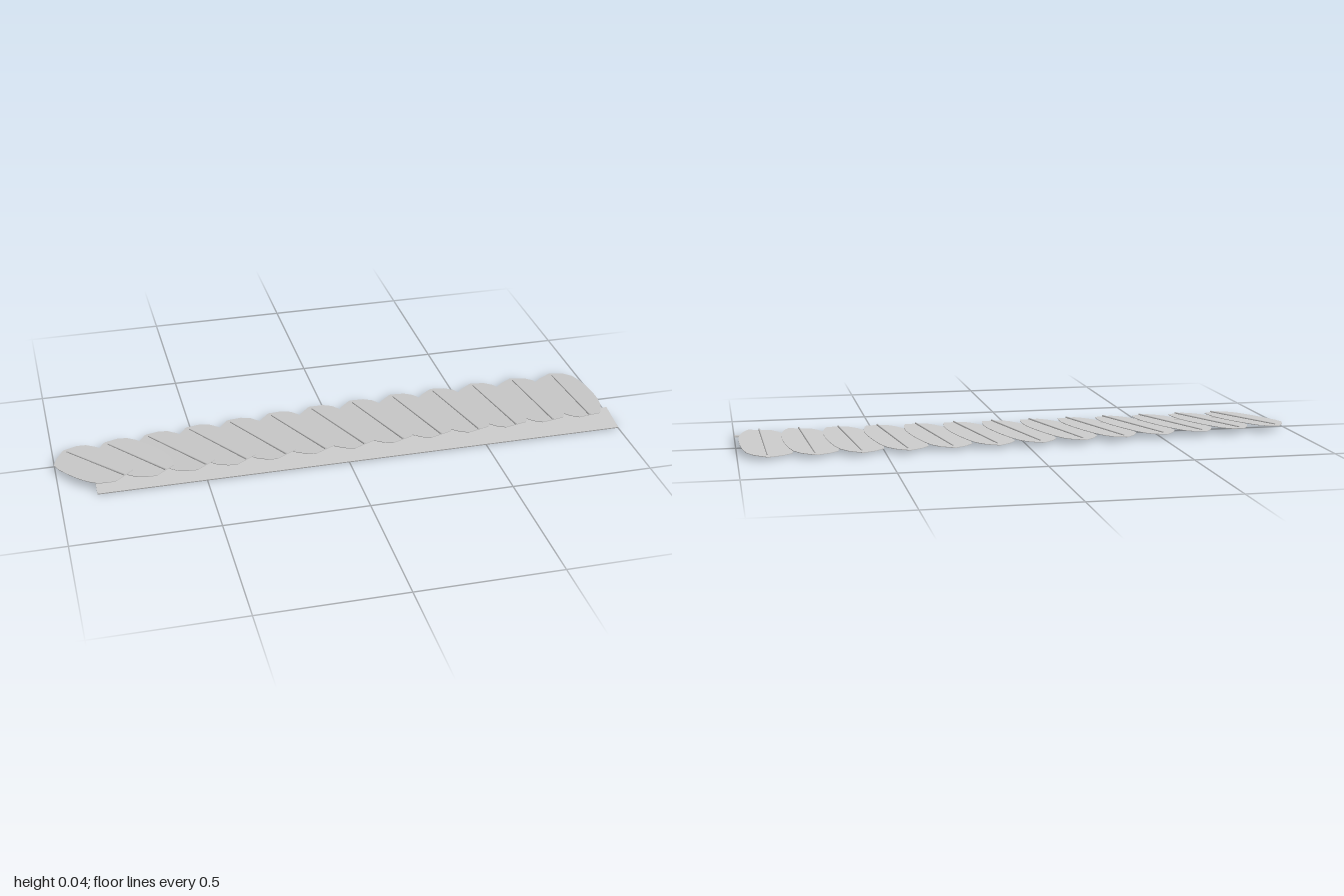
import * as THREE from 'three';

// Outline of a feather: [fraction from root to tip, half-width on the -x side, on the +x side]
const PROFILE = [[0, 0.04, 0.04], [0.06, 0.064, 0.054], [0.16, 0.086, 0.069], [0.28, 0.096, 0.079],
  [0.42, 0.1, 0.083], [0.58, 0.1, 0.083], [0.74, 0.096, 0.078], [0.86, 0.086, 0.068],
  [0.94, 0.05, 0.046], [1, 0.004, 0.004]];

const COUNT = 13;
const THICK = 0.002;
const { lerp } = THREE.MathUtils;

const grey = new THREE.MeshStandardMaterial({ color: 0xcacaca });

// Thin closed vane: root at the origin, tip towards -z
function vaneGeometry(length) {
  const right = PROFILE.map(([t, , w]) => new THREE.Vector2(w, t * length));
  const left = PROFILE.map(([t, w]) => new THREE.Vector2(-w, t * length)).reverse();
  const geo = new THREE.ExtrudeGeometry(new THREE.Shape([...right, ...left]),
    { depth: THICK, bevelEnabled: false });
  geo.rotateX(-Math.PI / 2);
  geo.translate(0, -THICK / 2, 0);
  return geo;
}

function createFeather(length) {
  const feather = new THREE.Group();
  const blade = new THREE.Mesh(vaneGeometry(length), grey);
  blade.name = 'featherVane';
  feather.add(blade);

  // Slender shaft lying along the top of the vane
  const shaftLength = length * 0.94;
  const shaftGeo = new THREE.CylinderGeometry(0.0025, 0.0036, shaftLength, 6);
  shaftGeo.rotateX(-Math.PI / 2);
  const shaft = new THREE.Mesh(shaftGeo, grey);
  shaft.name = 'featherShaft';
  shaft.position.set(0, 0.003, -shaftLength / 2);
  feather.add(shaft);
  return feather;
}

export function createModel() {
  const model = new THREE.Group();
  model.name = 'featherRow';

  // Overlapping feathers, fanning out and shortening towards -x
  for (let i = 0; i < COUNT; i++) {
    const t = i / (COUNT - 1);
    const feather = createFeather(0.37 - 0.07 * Math.pow(1 - t, 2.5));
    feather.name = 'feather' + (i + 1);
    feather.rotation.order = 'YXZ';
    // tip down, fanned, +x edge raised
    feather.rotation.set(lerp(-0.045, -0.058, t), lerp(0.67, 0.035, t), 0.06);
    feather.position.set(lerp(-0.775, 0.912, t), 0.032, lerp(0.165, 0.153, t));
    model.add(feather);
  }

  // Sloping leading-edge strip under the roots
  const strip = new THREE.Mesh(new THREE.BoxGeometry(1.875, 0.004, 0.118), grey);
  strip.name = 'leadingStrip';
  strip.position.set(0.0625, 0.0122, 0.157);
  strip.rotation.x = -Math.atan2(-0.019, 0.116);
  model.add(strip);

  return model;
}
